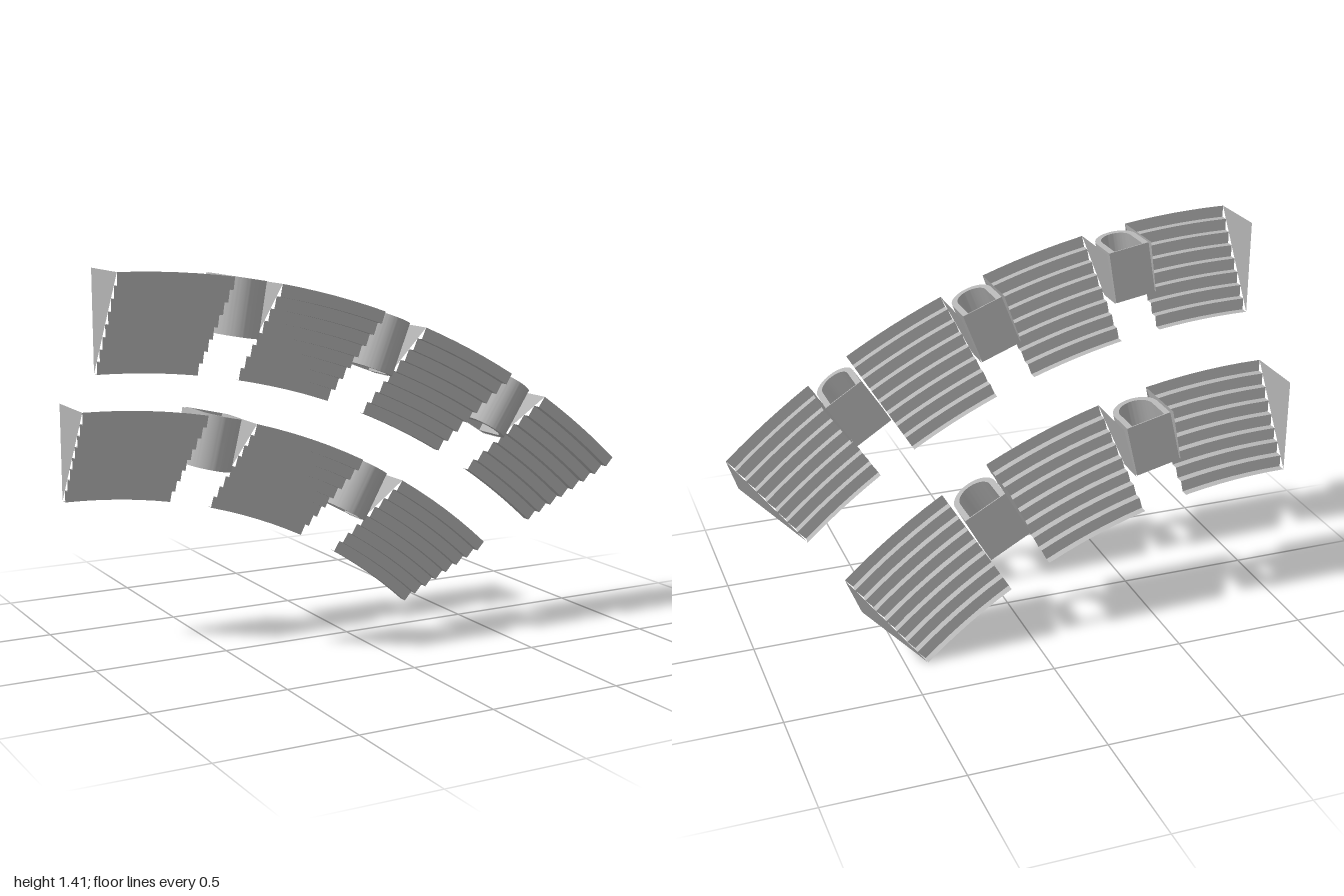
import * as THREE from 'three';
import { toCreasedNormals } from 'three/addons/utils/BufferGeometryUtils.js';

const CX = -1, CY = -1.548;   // shared centre of the curved tiers
const END = 42.5;             // sweep of each tier in degrees
const ROWS = 8, DEPTH = 0.355, RISE = 0.24, TUNNEL = 0.2;
const rad = THREE.MathUtils.degToRad;

const polar = (r, deg, z) =>
  [CX + r * Math.sin(rad(deg)), CY + r * Math.cos(rad(deg)), z];

function quads(list) {
  const pos = [];
  for (const [a, b, c, d] of list) pos.push(...a, ...b, ...c, ...a, ...c, ...d);
  const g = new THREE.BufferGeometry();
  g.setAttribute('position', new THREE.Float32BufferAttribute(pos, 3));
  g.computeVertexNormals();
  return toCreasedNormals(g, 0.4);
}

// Stepped sheet of risers and treads swept between two angles
function steppedRows(rIn, z0, from, to) {
  const profile = [];
  for (let i = 0; i < ROWS; i++) {
    const r = rIn + DEPTH * i / ROWS;
    profile.push([r, z0 + RISE * i / ROWS], [r, z0 + RISE * (i + 1) / ROWS]);
  }
  profile.push([rIn + DEPTH, z0 + RISE]);
  const list = [], segs = 6;
  for (let s = 0; s < segs; s++) {
    const a = from + (to - from) * s / segs, b = from + (to - from) * (s + 1) / segs;
    for (let i = 0; i + 1 < profile.length; i++) {
      const [r0, h0] = profile[i], [r1, h1] = profile[i + 1];
      list.push([polar(r0, a, h0), polar(r0, b, h0), polar(r1, b, h1), polar(r1, a, h1)]);
    }
  }
  return quads(list);
}

// Upright side wall under the slope, from radius rStart to the outer edge
function sideWall(rIn, z0, rStart, deg) {
  const rOut = rIn + DEPTH, slope = r => z0 + RISE * (r - rIn) / DEPTH;
  return quads([[polar(rStart, deg, z0), polar(rOut, deg, z0),
    polar(rOut, deg, slope(rOut)), polar(rStart, deg, slope(rStart))]]);
}

// Outline of an arch with a flat base
function arch(path, halfWidth, base, top) {
  path.moveTo(-halfWidth, base);
  path.lineTo(halfWidth, base);
  path.lineTo(halfWidth, top - halfWidth);
  path.absarc(0, top - halfWidth, halfWidth, 0, Math.PI, false);
  path.lineTo(-halfWidth, base);
  return path;
}

// Arched entrance tunnel running along the radius
function tunnel(rOut, z0, deg, width) {
  const shape = arch(new THREE.Shape(), width / 2, 0, 0.198);
  shape.holes.push(arch(new THREE.Path(), width / 2 - 0.022, 0.004, 0.176));
  const g = toCreasedNormals(new THREE.ExtrudeGeometry(shape,
    { depth: TUNNEL, bevelEnabled: false, curveSegments: 20 }), 0.5);
  const c = Math.cos(rad(deg)), s = Math.sin(rad(deg));
  const m = new THREE.Matrix4().makeBasis(new THREE.Vector3(c, -s, 0),
    new THREE.Vector3(0, 0, 1), new THREE.Vector3(-s, -c, 0));
  m.setPosition(...polar(rOut, deg, z0));
  return g.applyMatrix4(m);
}

export function createModel() {
  const model = new THREE.Group();
  model.name = 'grandstand';
  const concrete = new THREE.MeshStandardMaterial({ color: 0xb4b4b4, side: THREE.DoubleSide });
  concrete.name = 'concrete grey';

  const tiers = [
    { name: 'upperTier', rIn: 2.605, z0: 0.065, blocks: 4, gap: 3.45 },
    { name: 'lowerTier', rIn: 2.1, z0: -0.305, blocks: 3, gap: 4.6 },
  ];
  for (const { name, rIn, z0, blocks, gap } of tiers) {
    const tier = new THREE.Group();
    tier.name = name;
    model.add(tier);
    const add = (part, geometry) => {
      const mesh = new THREE.Mesh(geometry, concrete);
      mesh.name = part;
      tier.add(mesh);
    };
    const rOut = rIn + DEPTH, rTunnel = rOut - TUNNEL;
    const span = (END - gap * (blocks - 1)) / blocks;
    for (let i = 0; i < blocks; i++) {
      const from = i * (span + gap), to = from + span;
      add('seatingBlock', steppedRows(rIn, z0, from, to));
      // Full walls close the tier, short walls flank each tunnel
      add(i ? 'tunnelSideWall' : 'endWall', sideWall(rIn, z0, i ? rTunnel : rIn, from));
      const last = i === blocks - 1;
      add(last ? 'endWall' : 'tunnelSideWall', sideWall(rIn, z0, last ? rIn : rTunnel, to));
      if (!last) add('entranceTunnel', tunnel(rOut, z0, to + gap / 2, rTunnel * rad(gap) - 0.008));
    }
  }
  return model;
}
